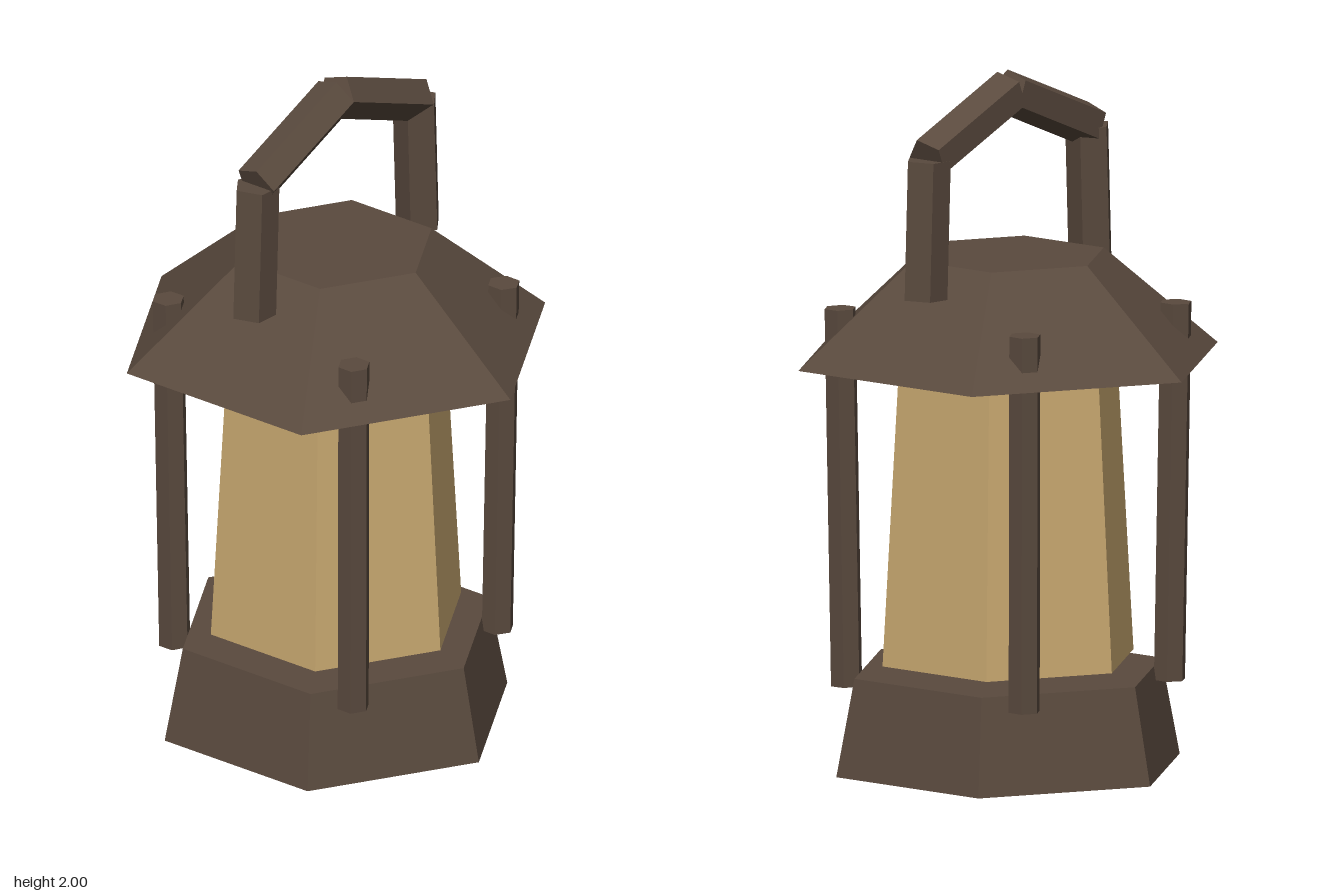
import * as THREE from 'three';

export function createModel() {
  const lantern = new THREE.Group();
  lantern.name = 'lantern';
  const metal = new THREE.MeshStandardMaterial({ color: 0x5a4a3e, flatShading: true });
  const glass = new THREE.MeshStandardMaterial({ color: 0xc8a870, flatShading: true });
  const up = new THREE.Vector3(0, 1, 0);

  // Six-sided tapered section between two heights
  function section(name, rBottom, rTop, y0, y1, material) {
    const mesh = new THREE.Mesh(new THREE.CylinderGeometry(rTop, rBottom, y1 - y0, 6), material);
    mesh.position.y = (y0 + y1) / 2;
    mesh.name = name;
    lantern.add(mesh);
  }

  // Straight bar running from one point to another
  function bar(name, from, to, radius, sides, turn = 0) {
    const a = new THREE.Vector3(...from);
    const dir = new THREE.Vector3(...to).sub(a);
    const geometry = new THREE.CylinderGeometry(radius, radius, dir.length(), sides);
    geometry.rotateY(turn);
    const mesh = new THREE.Mesh(geometry, metal);
    mesh.position.copy(a).addScaledVector(dir, 0.5);
    mesh.quaternion.setFromUnitVectors(up, dir.normalize());
    mesh.name = name;
    lantern.add(mesh);
  }

  // Body
  section('base', 0.52, 0.465, 0, 0.28, metal);
  section('glassPane', 0.38, 0.328, 0.31, 1.21, glass);
  section('roof', 0.635, 0.29, 1.178, 1.473, metal);

  // Corner posts, leaning slightly outward and poking through the roof
  for (const sx of [-1, 1]) {
    for (const sz of [-1, 1]) {
      const name = (sz > 0 ? 'front' : 'back') + (sx > 0 ? 'Left' : 'Right') + 'Post';
      bar(name, [sx * 0.325, 0.24, sz * 0.325], [sx * 0.338, 1.327, sz * 0.338], 0.047, 6);
    }
  }

  // Five-sided handle bars: two uprights and two sloping tops
  for (const s of [-1, 1]) {
    const side = s > 0 ? 'Left' : 'Right';
    bar('handleUpright' + side, [s * 0.375, 1.397, 0], [s * 0.36, 1.795, 0], 0.066, 5, s > 0 ? 0 : Math.PI);
    bar('handleTop' + side, [s * 0.36, 1.797, 0], [0, 1.942, 0], 0.065, 5);
  }
  return lantern;
}
